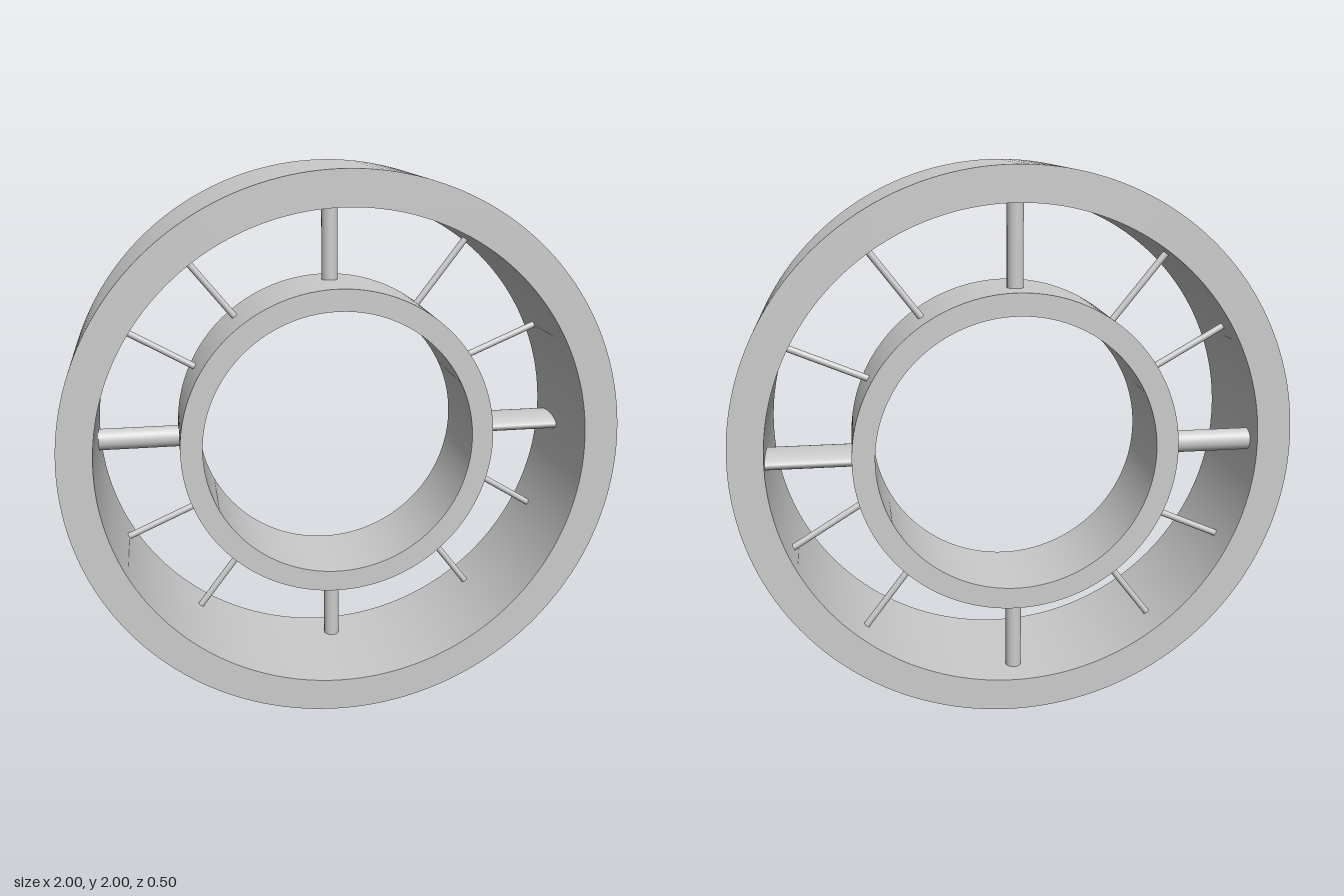
import * as THREE from 'three';
import { toCreasedNormals } from 'three/addons/utils/BufferGeometryUtils.js';

const material = new THREE.MeshStandardMaterial({ color: 0xcccccc });

// Flat-faced ring around the z axis, from zBack to zFront
function ring(name, outer, inner, zBack, zFront) {
  const shape = new THREE.Shape().absarc(0, 0, outer, 0, Math.PI * 2, false);
  shape.holes.push(new THREE.Path().absarc(0, 0, inner, 0, Math.PI * 2, true));
  const geo = new THREE.ExtrudeGeometry(shape, {
    depth: zFront - zBack, bevelEnabled: false, curveSegments: 96,
  });
  geo.translate(0, 0, zBack);
  const mesh = new THREE.Mesh(toCreasedNormals(geo, 0.6), material);
  mesh.name = name;
  return mesh;
}

// Strut between two points in the ring plane; depthScale stretches its section along z
function strut(name, [x1, y1], [x2, y2], z, radius, depthScale = 1) {
  const dx = x2 - x1, dy = y2 - y1;
  const geo = new THREE.CylinderGeometry(radius, radius, Math.hypot(dx, dy), 32);
  geo.scale(1, 1, depthScale);
  const mesh = new THREE.Mesh(geo, material);
  mesh.position.set((x1 + x2) / 2, (y1 + y2) / 2, z);
  mesh.rotation.z = Math.atan2(dy, dx) - Math.PI / 2;
  mesh.name = name;
  return mesh;
}

export function createModel() {
  const model = new THREE.Group();
  const wheel = new THREE.Group();
  wheel.name = 'ringFrame';
  wheel.position.y = 1;
  model.add(wheel);

  // Outer casing and shorter inner ring, flush at the back
  wheel.add(ring('outerRing', 0.998, 0.875, -0.25, 0.25));
  wheel.add(ring('innerRing', 0.58, 0.5, -0.25, 0.09));

  // Four main struts: two round, one thick, one with a deep oval section
  wheel.add(strut('topStrut', [-0.005, 0.56], [-0.005, 0.9], -0.125, 0.029));
  wheel.add(strut('bottomStrut', [0, -0.56], [0, -0.9], -0.125, 0.029));
  wheel.add(strut('rightStrut', [-0.56, 0], [-1, 0], -0.14, 0.04));
  wheel.add(strut('leftOvalStrut', [0.56, 0], [0.9, 0], -0.13, 0.03, 3.2));

  // Thin rods at slightly uneven angles: [inner x, y, outer x, y]
  const rods = [
    [0.326, 0.489, 0.503, 0.719], [0.519, 0.275, 0.791, 0.388],
    [0.556, -0.19, 0.802, -0.35], [0.38, -0.447, 0.551, -0.676],
    [-0.348, -0.463, -0.6, -0.798], [-0.513, -0.265, -0.781, -0.382],
    [-0.513, 0.275, -0.765, 0.42], [-0.364, 0.463, -0.545, 0.687],
  ];
  for (const [x1, y1, x2, y2] of rods) {
    // Sink both ends slightly into the rings
    const k = x2 === -0.6 ? 1 : 1.02;
    wheel.add(strut('thinRod', [x1 * 0.97, y1 * 0.97], [x2 * k, y2 * k], -0.11, 0.012));
  }
  return model;
}
